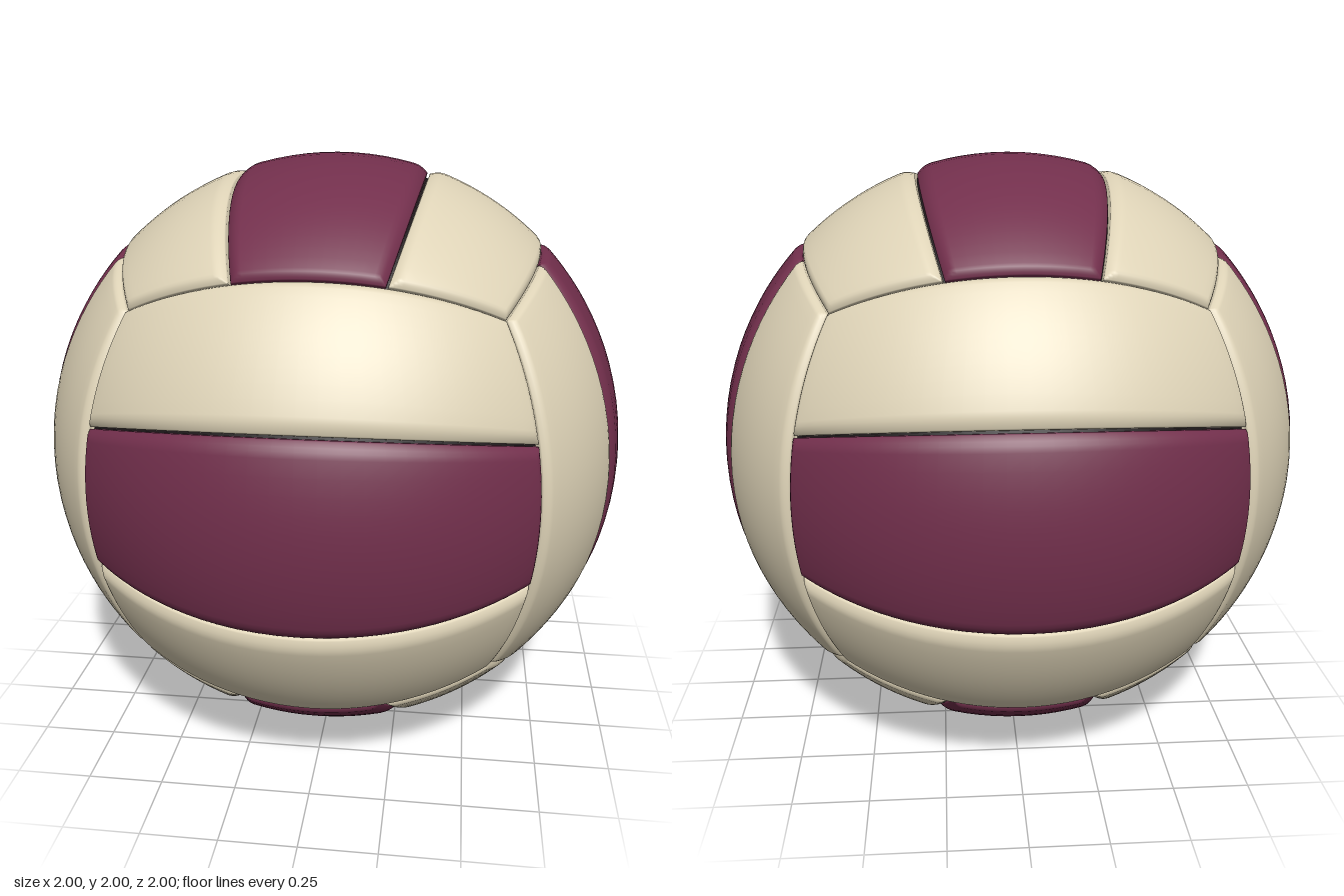
import * as THREE from 'three';

const GAP = 0.004;                                        // half the seam width
const EDGE = [0, 0.001, 0.006, 0.014, 0.025, 0.04, 0.06]; // fine rows at the rounded rim

// Sample positions from a to b, dense at both ends
function samples(a, b, inner) {
  const list = EDGE.map((d) => a + d);
  const start = a + 0.06, span = b - a - 0.12;
  for (let i = 1; i < inner; i++) list.push(start + (span * i) / inner);
  return list.concat(EDGE.map((d) => b - d).reverse());
}

// Radius of a panel at distance d from its rim: steep wall, then a rounded shoulder
function radiusAt(d) {
  if (d < 0.0005) return 0.955;
  const t = Math.max(0, 1 - d / 0.06);
  return 1 - 0.019 * t * t;
}

// One strip of a cube face, projected onto the ball
function panelGeometry(n, u, v, v0, v1) {
  const us = samples(-1 + GAP, 1 - GAP, 28);
  const vs = samples(v0 + GAP, v1 - GAP, 10);
  const nu = us.length - 1, nv = vs.length - 1;
  const geo = new THREE.PlaneGeometry(1, 1, nu, nv);
  const pos = geo.attributes.position;
  const p = new THREE.Vector3();
  for (let k = 0; k < pos.count; k++) {
    const a = us[k % (nu + 1)];
    const b = vs[nv - Math.floor(k / (nu + 1))];
    const d = Math.min(a - us[0], us[nu] - a, b - vs[0], vs[nv] - b);
    p.copy(n).addScaledVector(u, a).addScaledVector(v, b).setLength(radiusAt(d));
    pos.setXYZ(k, p.x, p.y, p.z);
  }
  geo.computeVertexNormals();
  return geo;
}

export function createModel() {
  const cream = new THREE.MeshStandardMaterial({ name: 'cream leather', color: 0xded3b7 });
  const maroon = new THREE.MeshStandardMaterial({ name: 'maroon leather', color: 0x722f4c });
  const dark = new THREE.MeshStandardMaterial({ name: 'dark seam', color: 0x1c1618 });

  const ball = new THREE.Group();
  ball.name = 'volleyball';

  // Dark core showing through the seams
  const core = new THREE.Mesh(new THREE.SphereGeometry(0.965, 64, 40), dark);
  core.name = 'seamCore';
  ball.add(core);

  // Six faces of three strips; strip direction turns from axis to axis
  const X = new THREE.Vector3(1, 0, 0), Y = new THREE.Vector3(0, 1, 0), Z = new THREE.Vector3(0, 0, 1);
  const faces = [
    ['front', 'back', Z, X, Y],
    ['left', 'right', X, Y, Z],
    ['top', 'bottom', Y, Z, X],
  ];
  for (const [name, opposite, n, u, v] of faces) {
    for (const s of [1, -1]) {
      const face = new THREE.Group();
      face.name = (s > 0 ? name : opposite) + 'Panels';
      for (let i = 0; i < 3; i++) {
        const geo = panelGeometry(n.clone().multiplyScalar(s), u.clone().multiplyScalar(s), v,
          -1 + (i * 2) / 3, -1 + ((i + 1) * 2) / 3);
        const strip = new THREE.Mesh(geo, i === 1 ? maroon : cream);
        strip.name = i === 1 ? 'middleStrip' : 'sideStrip';
        face.add(strip);
      }
      ball.add(face);
    }
  }

  ball.position.y = 1;
  const model = new THREE.Group();
  model.name = 'ball';
  model.add(ball);
  return model;
}
